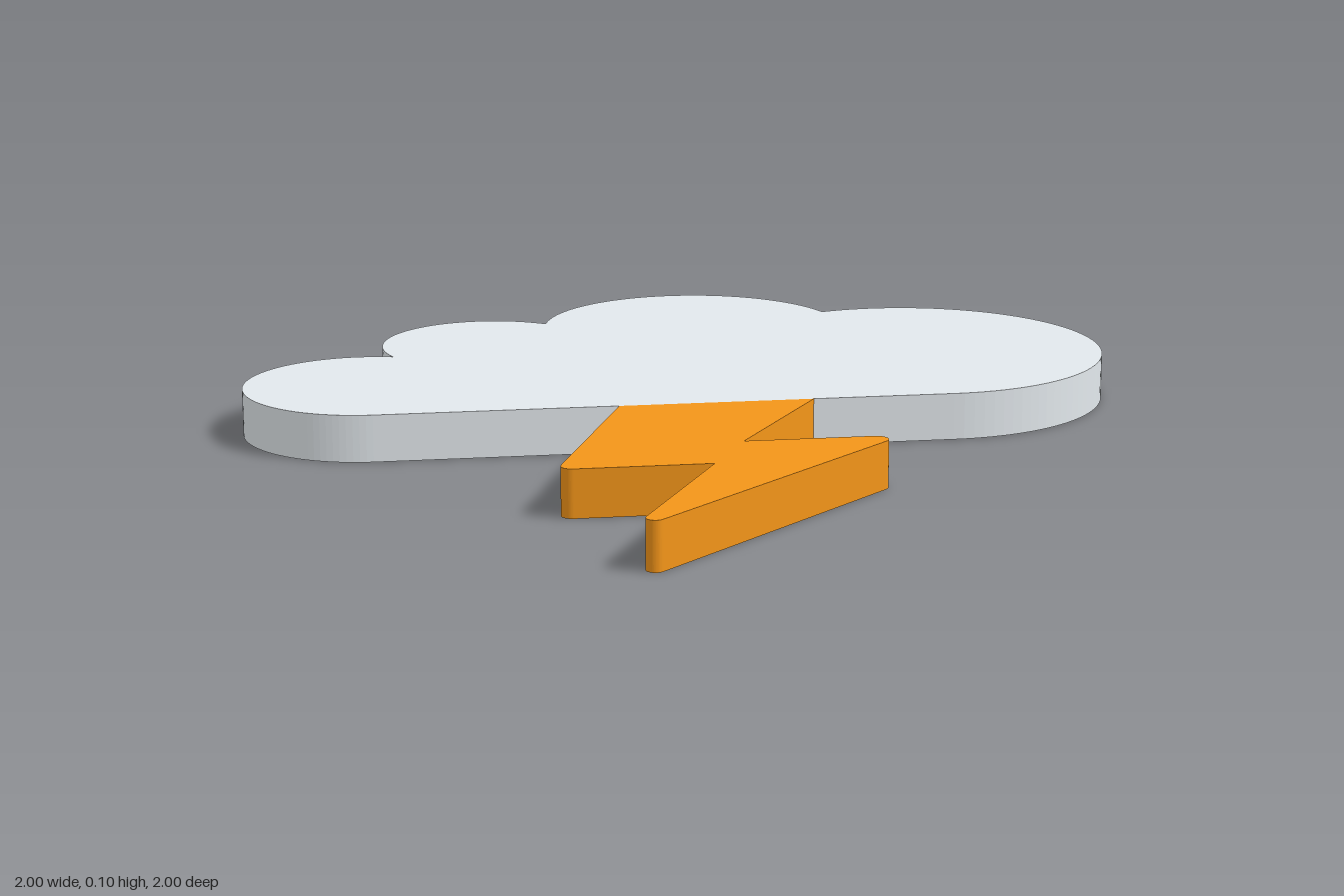
import * as THREE from 'three';

const THICKNESS = 0.105;

// Cloud puffs from left to right: centre x, centre y (towards the back), radius
const PUFFS = [
  [-0.725, 0.17, 0.275],
  [-0.418, 0.53, 0.25],
  [0.085, 0.642, 0.358],
  [0.5575, 0.3375, 0.4425],
];

// Bolt corners: x, y (towards the back), rounding radius
const BOLT = [
  [-0.19, -0.105, 0],
  [0.241, -0.105, 0],
  [0.03, -0.44, 0],
  [0.373, -0.44, 0.026],
  [-0.302, -1.0725, 0.0193],
  [-0.058, -0.607, 0],
  [-0.382, -0.607, 0.024],
];

// Outer crossing point of two neighbouring puffs
function crossing([ax, ay, ar], [bx, by, br]) {
  const dx = bx - ax, dy = by - ay, d = Math.hypot(dx, dy);
  const along = (d * d + ar * ar - br * br) / (2 * d);
  const side = Math.sqrt(ar * ar - along * along);
  return [ax + (dx * along - dy * side) / d, ay + (dy * along + dx * side) / d];
}

// Clockwise chain of arcs closed by the flat front edge
function cloudShape() {
  const shape = new THREE.Shape();
  let start = -Math.PI / 2;
  PUFFS.forEach((puff, i) => {
    const [x, y, r] = puff;
    const next = PUFFS[i + 1];
    let end = -Math.PI / 2;
    if (next) {
      const [px, py] = crossing(puff, next);
      end = Math.atan2(py - y, px - x);
      start = Math.atan2(Math.sin(start), Math.cos(start));
      shape.absarc(x, y, r, start, end, true);
      start = Math.atan2(py - next[1], px - next[0]);
    } else {
      shape.absarc(x, y, r, start, end, true);
    }
  });
  shape.closePath();
  return shape;
}

// Polygon whose corners are rounded by their own radius
function roundedShape(corners) {
  const shape = new THREE.Shape();
  const n = corners.length;
  corners.forEach(([x, y, r], i) => {
    const p = new THREE.Vector2(x, y);
    const a = new THREE.Vector2(...corners[(i + n - 1) % n].slice(0, 2)).sub(p).normalize();
    const b = new THREE.Vector2(...corners[(i + 1) % n].slice(0, 2)).sub(p).normalize();
    const move = (x, y) => (i ? shape.lineTo(x, y) : shape.moveTo(x, y));
    if (!r) return move(x, y);
    const half = Math.acos(a.dot(b)) / 2;
    const t = r / Math.tan(half);
    const c = a.clone().add(b).normalize().multiplyScalar(r / Math.sin(half)).add(p);
    const from = a.multiplyScalar(t).add(p), to = b.multiplyScalar(t).add(p);
    move(from.x, from.y);
    shape.absarc(c.x, c.y, r, Math.atan2(from.y - c.y, from.x - c.x),
      Math.atan2(to.y - c.y, to.x - c.x), true);
  });
  shape.closePath();
  return shape;
}

// Flat slab lying on the ground
function slab(name, shape, color, curveSegments) {
  const geometry = new THREE.ExtrudeGeometry(shape, { depth: THICKNESS, bevelEnabled: false, curveSegments });
  geometry.rotateX(-Math.PI / 2);
  const mesh = new THREE.Mesh(geometry, new THREE.MeshStandardMaterial({ color }));
  mesh.name = name;
  return mesh;
}

export function createModel() {
  const group = new THREE.Group();
  group.name = 'stormCloud';
  group.add(slab('cloud', cloudShape(), 0xe2e8ec, 32));
  group.add(slab('lightningBolt', roundedShape(BOLT), 0xf39519, 10));
  return group;
}
